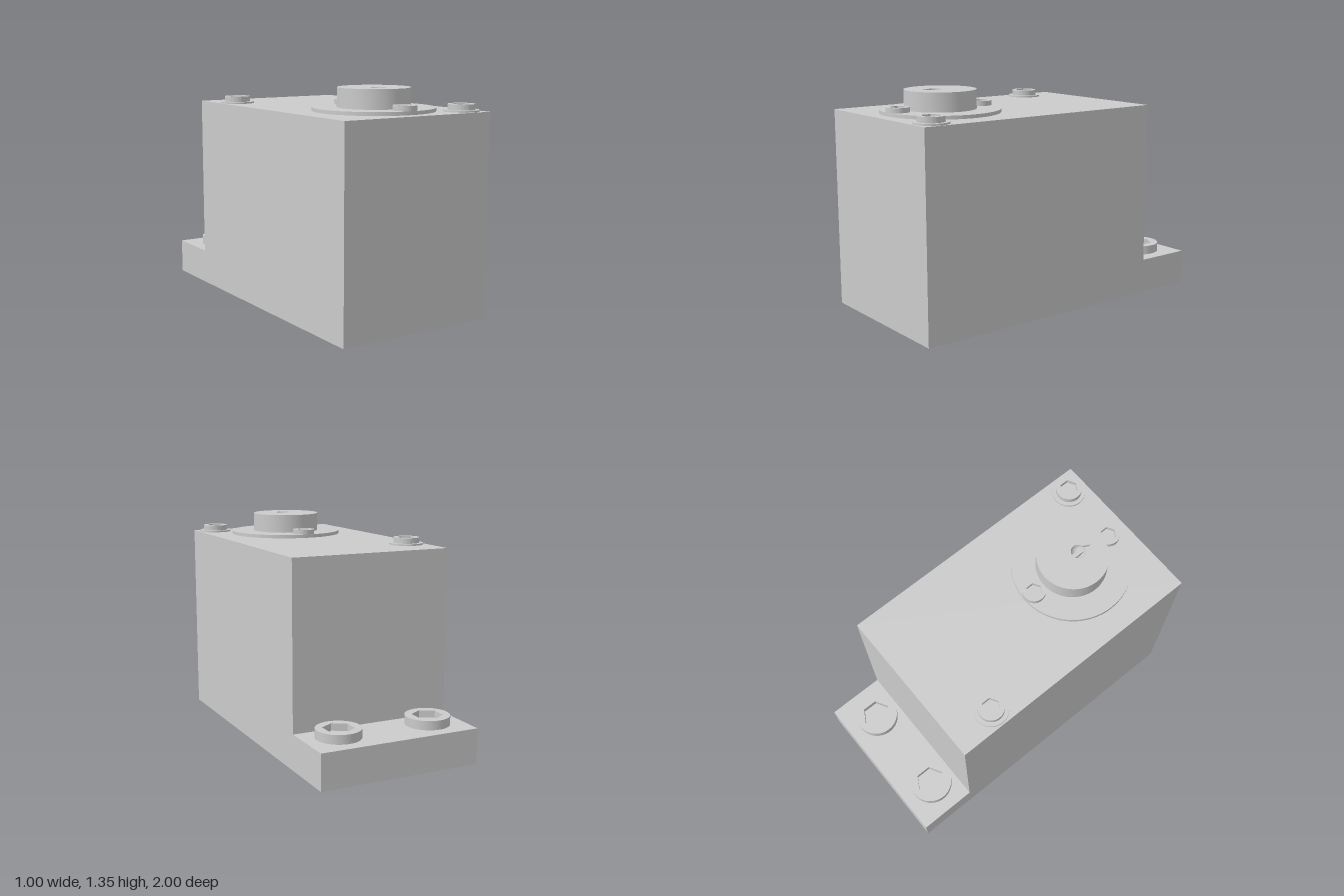
import * as THREE from 'three';
import { toCreasedNormals } from 'three/addons/utils/BufferGeometryUtils.js';

const material = new THREE.MeshStandardMaterial({ color: 0xcccccc });
const openMaterial = new THREE.MeshStandardMaterial({ color: 0xcccccc, side: THREE.DoubleSide });

function addMesh(parent, name, geometry, x, y, z, mat = material) {
  const mesh = new THREE.Mesh(geometry, mat);
  mesh.name = name;
  mesh.position.set(x, y, z);
  parent.add(mesh);
  return mesh;
}

// Disc standing on y = 0 with a hole cut through it (shape y points to -z)
function piercedDisc(radius, height, hole) {
  const shape = new THREE.Shape().absarc(0, 0, radius, 0, Math.PI * 2, false);
  shape.holes.push(hole);
  const geometry = new THREE.ExtrudeGeometry(shape, { depth: height, bevelEnabled: false, curveSegments: 32 });
  geometry.rotateX(-Math.PI / 2);
  return toCreasedNormals(geometry, 0.5);
}

function disc(radius, height) {
  return new THREE.CylinderGeometry(radius, radius, height, 64).translate(0, height / 2, 0);
}

// Hexagonal opening with corners pointing along z
function hexagon(radius) {
  const points = [];
  for (let i = 0; i < 6; i++) {
    const a = Math.PI / 2 - (i * Math.PI) / 3;
    points.push(new THREE.Vector2(Math.cos(a) * radius, Math.sin(a) * radius));
  }
  return new THREE.Path(points);
}

// Socket-head screw, optionally on a washer
function addScrew(parent, name, { x, y, z, radius, hex, height, washer = 0 }) {
  const screw = new THREE.Group();
  screw.name = name;
  screw.position.set(x, y, z);
  parent.add(screw);
  const base = washer ? 0.01 : 0;
  if (washer) addMesh(screw, 'washer', disc(washer, base), 0, 0, 0);
  addMesh(screw, 'head', piercedDisc(radius, height, hexagon(hex)), 0, base, 0);
  addMesh(screw, 'socketFloor', disc(hex * 1.04, height * 0.2), 0, base, 0);
}

export function createModel() {
  const model = new THREE.Group();
  model.name = 'lockHousing';

  // L-shaped housing: tall block with a low mounting foot at the back
  const profile = new THREE.Shape([
    [-1, 0], [1, 0], [1, 0.215], [0.64, 0.215], [0.64, 1.215], [-1, 1.215],
  ].map(([a, b]) => new THREE.Vector2(a, b)));
  const housing = new THREE.ExtrudeGeometry(profile, { depth: 1, bevelEnabled: false });
  housing.translate(0, 0, -0.5).rotateY(Math.PI / 2);
  addMesh(model, 'housing', housing, 0, 0, 0);

  // Large mounting bolts on the foot
  for (const side of [-1, 1]) {
    addScrew(model, side < 0 ? 'rightFootBolt' : 'leftFootBolt',
      { x: side * 0.29, y: 0.215, z: -0.793, radius: 0.133, hex: 0.092, height: 0.055 });
  }

  // Washered screws at opposite corners of the lid
  const corner = { y: 1.215, radius: 0.078, hex: 0.055, height: 0.033, washer: 0.103 };
  addScrew(model, 'backCornerScrew', { ...corner, x: -0.387, z: -0.36 });
  addScrew(model, 'frontCornerScrew', { ...corner, x: 0.387, z: 0.885 });

  // Flange held by two screws
  const lockZ = 0.57;
  addMesh(model, 'flange', disc(0.357, 0.021), 0, 1.215, lockZ);
  for (const side of [-1, 1]) {
    addScrew(model, side < 0 ? 'backFlangeScrew' : 'frontFlangeScrew',
      { x: 0, y: 1.236, z: lockZ + side * 0.289, radius: 0.068, hex: 0.048, height: 0.029 });
  }

  // Lock cylinder with a keyhole: round opening plus a slot towards the front
  const r = 0.043, half = 0.013, holeZ = 0.042, slotEnd = 0.13;
  const gap = Math.asin(half / r);
  const keyhole = new THREE.Path();
  keyhole.moveTo(half, -slotEnd);
  keyhole.absarc(0, -holeZ, r, -Math.PI / 2 + gap, Math.PI * 1.5 - gap, false);
  keyhole.lineTo(-half, -slotEnd);
  keyhole.closePath();
  addMesh(model, 'lockCylinder', piercedDisc(0.213, 0.114, keyhole), 0, 1.236, lockZ);

  // Dished keyhole bottom and slot floor
  const dish = new THREE.SphereGeometry(r, 32, 12, 0, Math.PI * 2, Math.PI / 2, Math.PI / 2);
  addMesh(model, 'keyholeDish', dish, 0, 1.348, lockZ + holeZ, openMaterial);
  const slotLength = slotEnd + r - holeZ;
  addMesh(model, 'keySlotFloor', new THREE.BoxGeometry(half * 2, 0.03, slotLength),
    0, 1.315, lockZ + slotEnd - slotLength / 2);

  return model;
}
